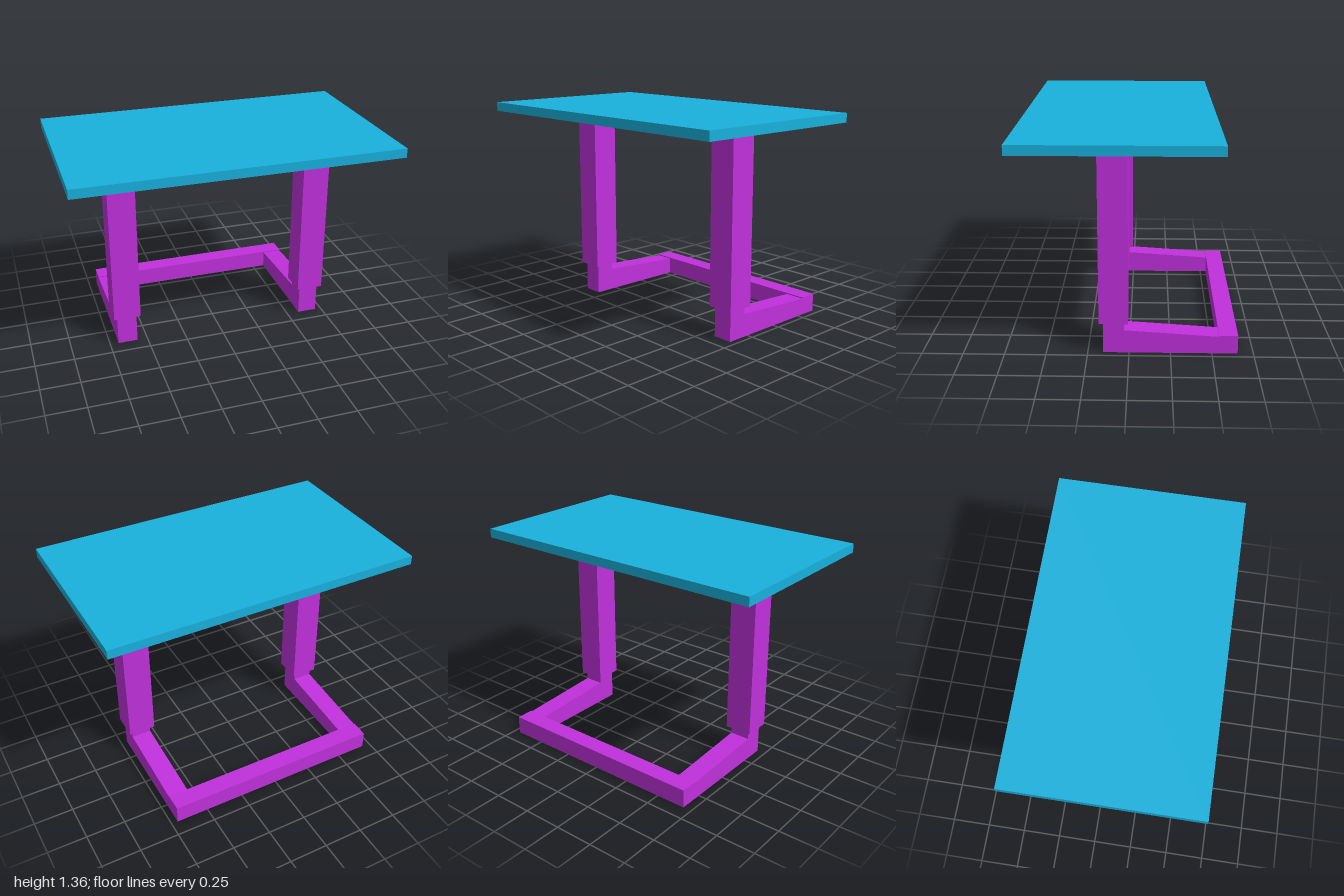
import * as THREE from 'three';

const blue = new THREE.MeshStandardMaterial({ color: 0x18b0dc });
const purple = new THREE.MeshStandardMaterial({ color: 0xc030dc });

// Box given by its minimum and maximum corners
function box(name, min, max, material) {
  const size = max.map((v, i) => v - min[i]);
  const mesh = new THREE.Mesh(new THREE.BoxGeometry(...size), material);
  mesh.name = name;
  mesh.position.set(...max.map((v, i) => (v + min[i]) / 2));
  return mesh;
}

// L-shaped foot: short post at the front, arm tapering towards the back
function footGeometry(width) {
  const profile = [[0.157, 0], [0.157, 0.2], [0.03, 0.2], [0.03, 0.148], [-0.54, 0.111], [-0.54, 0]];
  const shape = new THREE.Shape(profile.map(([z, y]) => new THREE.Vector2(z, y)));
  const geometry = new THREE.ExtrudeGeometry(shape, { depth: width, bevelEnabled: false });
  geometry.translate(0, 0, -width / 2);
  geometry.rotateY(-Math.PI / 2); // profile x becomes z
  return geometry;
}

export function createModel() {
  const table = new THREE.Group();
  table.name = 'table';

  table.add(box('tabletop', [-1, 1.3, -0.522], [1, 1.358, 0.655], blue));

  // Columns and feet, the pair sitting slightly off centre
  const foot = footGeometry(0.128);
  for (const [side, x] of [['right', -0.631], ['left', 0.645]]) {
    table.add(box(side + 'Column', [x - 0.087, 0.198, 0.006], [x + 0.087, 1.3, 0.181], purple));
    const mesh = new THREE.Mesh(foot, purple);
    mesh.name = side + 'Foot';
    mesh.position.x = x;
    table.add(mesh);
  }

  // Rail joining the feet at the back
  table.add(box('backRail', [-0.695, 0, -0.655], [0.709, 0.118, -0.54], purple));
  return table;
}
